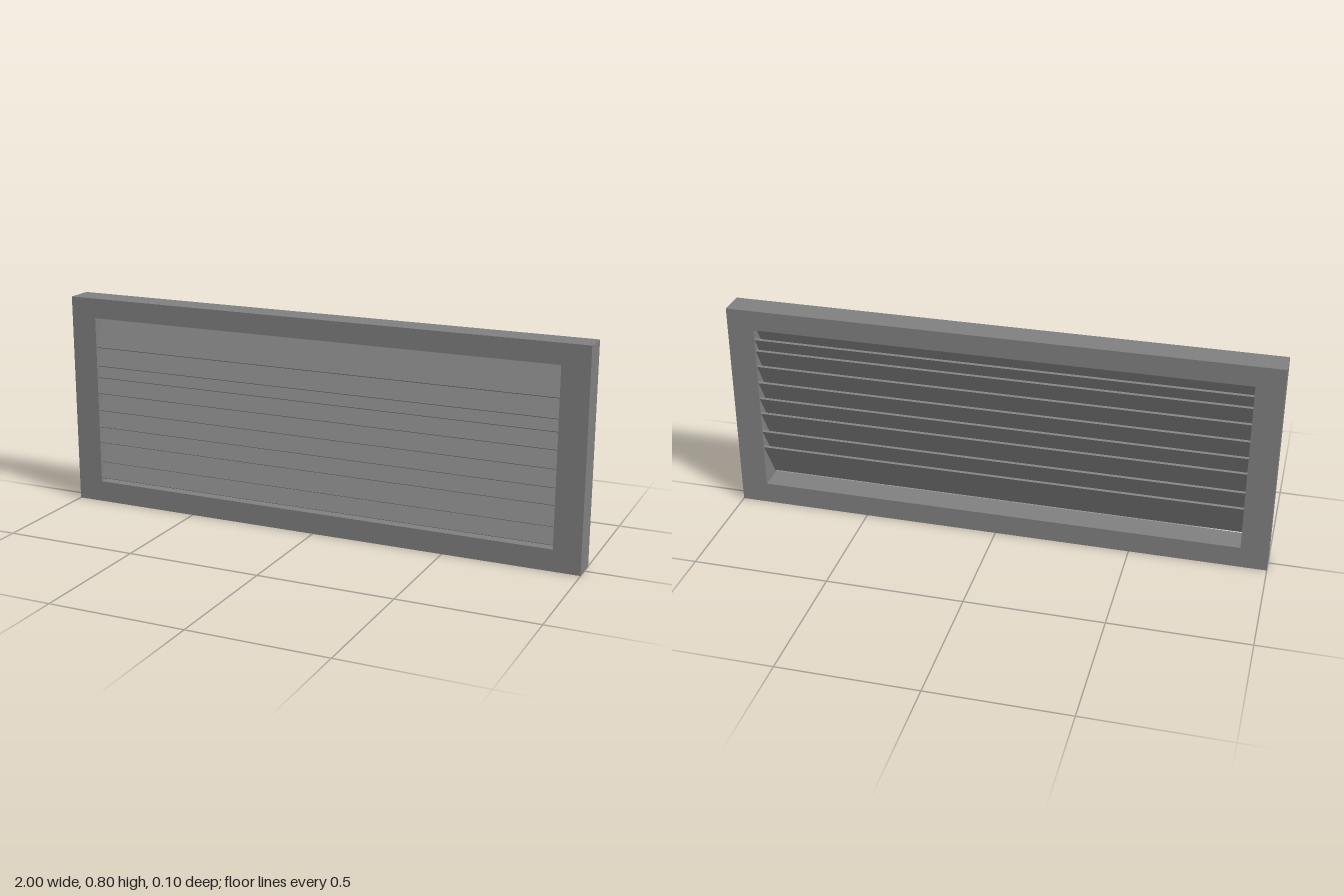
import * as THREE from 'three';

export function createModel() {
  const group = new THREE.Group();
  group.name = 'louvredVent';
  const grey = new THREE.MeshStandardMaterial({ color: 0x808080 });
  grey.name = 'mid grey';

  // Rectangular frame with one opening
  const outline = new THREE.Shape([[-1, 0], [1, 0], [1, 0.8], [-1, 0.8]].map(p => new THREE.Vector2(...p)));
  outline.holes.push(new THREE.Path(
    [[-0.9, 0.08], [-0.9, 0.725], [0.9, 0.725], [0.9, 0.08]].map(p => new THREE.Vector2(...p))));
  const frameGeometry = new THREE.ExtrudeGeometry(outline, { depth: 0.1, bevelEnabled: false });
  frameGeometry.translate(0, 0, -0.05);
  const frame = new THREE.Mesh(frameGeometry, grey);
  frame.name = 'frame';
  group.add(frame);

  // Overlapping slats, lower edge forward; spacing is slightly uneven
  const slatGeometry = new THREE.BoxGeometry(1.8, 0.17, 0.008);
  const lowerEdges = [0.092, 0.158, 0.235, 0.297, 0.363, 0.43, 0.493, 0.538, 0.61];
  const slats = new THREE.Group();
  slats.name = 'slats';
  lowerEdges.forEach((y, i) => {
    const slat = new THREE.Mesh(slatGeometry, grey);
    slat.name = `slat${i + 1}`;
    slat.position.set(0, y + 0.074, 0);
    slat.rotation.x = -Math.PI / 6;
    slats.add(slat);
  });
  group.add(slats);

  return group;
}
